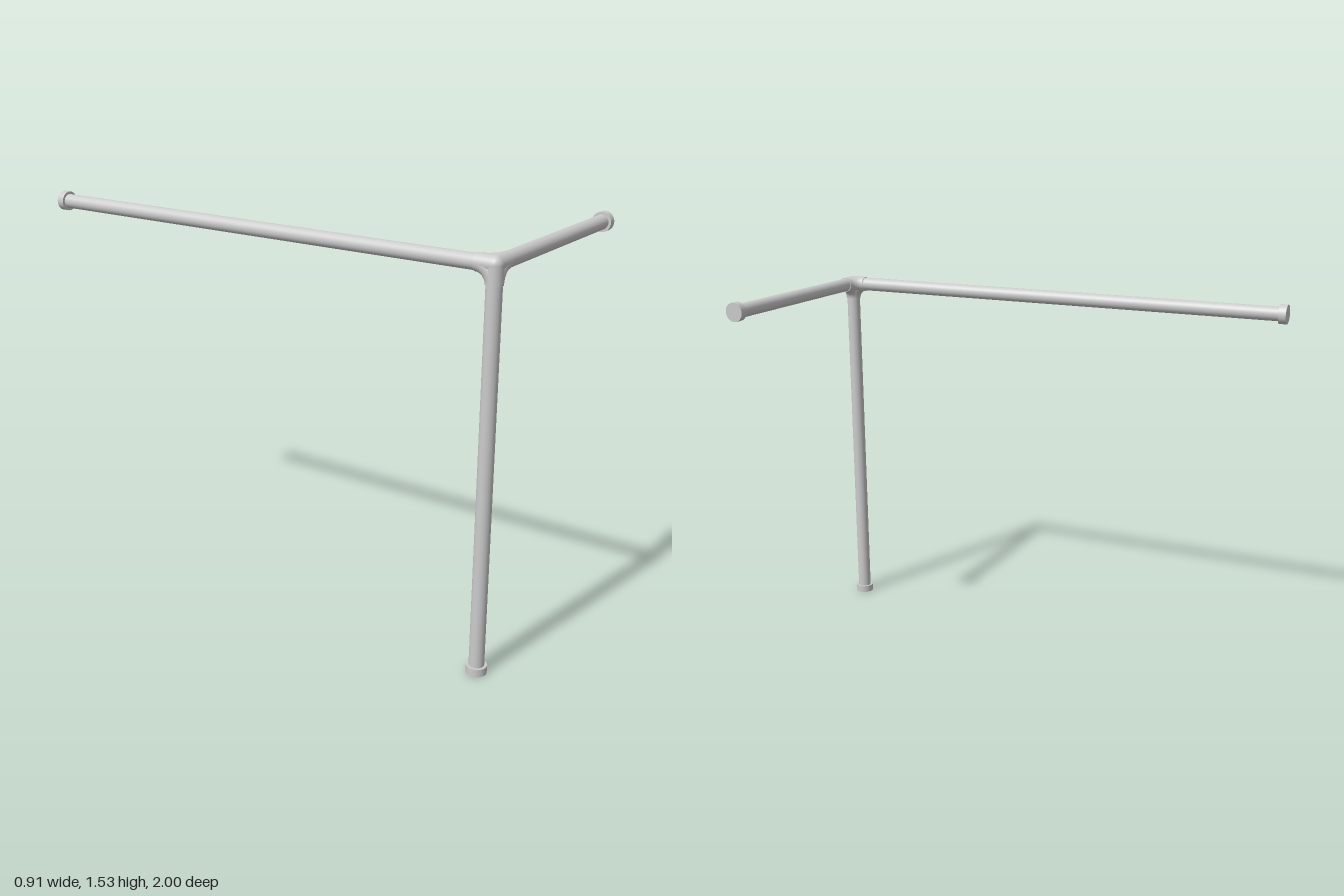
import * as THREE from 'three';

const JOINT = new THREE.Vector3(-0.415, 1.49, 0.962);
const PIPE_R = 0.028, CAP_R = 0.038, CAP_L = 0.03;
const SLEEVE_R = 0.031, SLEEVE_L = 0.067;

export function createModel() {
  const group = new THREE.Group();
  const material = new THREE.MeshStandardMaterial({ color: 0xcccccc });

  const add = (name, geometry) => {
    const mesh = new THREE.Mesh(geometry, material);
    mesh.name = name;
    mesh.position.copy(JOINT);
    group.add(mesh);
    return mesh;
  };

  // Solid rod lying along a direction between two distances from the joint
  const rod = (name, dir, from, to, radius) => {
    const mesh = add(name, new THREE.CylinderGeometry(radius, radius, to - from, 40));
    mesh.quaternion.setFromUnitVectors(new THREE.Vector3(0, 1, 0), dir);
    mesh.position.addScaledVector(dir, (from + to) / 2);
  };

  const arms = [
    { name: 'leg', dir: new THREE.Vector3(0, -1, 0), length: 1.49 },
    { name: 'sideBar', dir: new THREE.Vector3(1, 0, 0), length: 0.868 },
    { name: 'backBar', dir: new THREE.Vector3(0, 0, -1), length: 1.962 },
  ];

  // Pipes with joint sleeves and end caps
  for (const { name, dir, length } of arms) {
    rod(name, dir, 0, length - CAP_L, PIPE_R);
    rod(name + 'Sleeve', dir, 0, SLEEVE_L, SLEEVE_R);
    rod(name + 'EndCap', dir, length - CAP_L, length, CAP_R);
  }

  // Rounded outer corner of the three-way joint
  add('jointBall', new THREE.SphereGeometry(SLEEVE_R, 40, 24));

  // Quarter bends that blend each pair of pipes
  const handle = SLEEVE_L * (1 - 0.5523);
  arms.forEach((a, i) => {
    const b = arms[(i + 1) % arms.length];
    const along = (arm, d) => arm.dir.clone().multiplyScalar(d);
    const bend = new THREE.CubicBezierCurve3(
      along(a, SLEEVE_L), along(a, handle), along(b, handle), along(b, SLEEVE_L));
    add('jointBend', new THREE.TubeGeometry(bend, 16, SLEEVE_R, 32));
  });

  return group;
}
